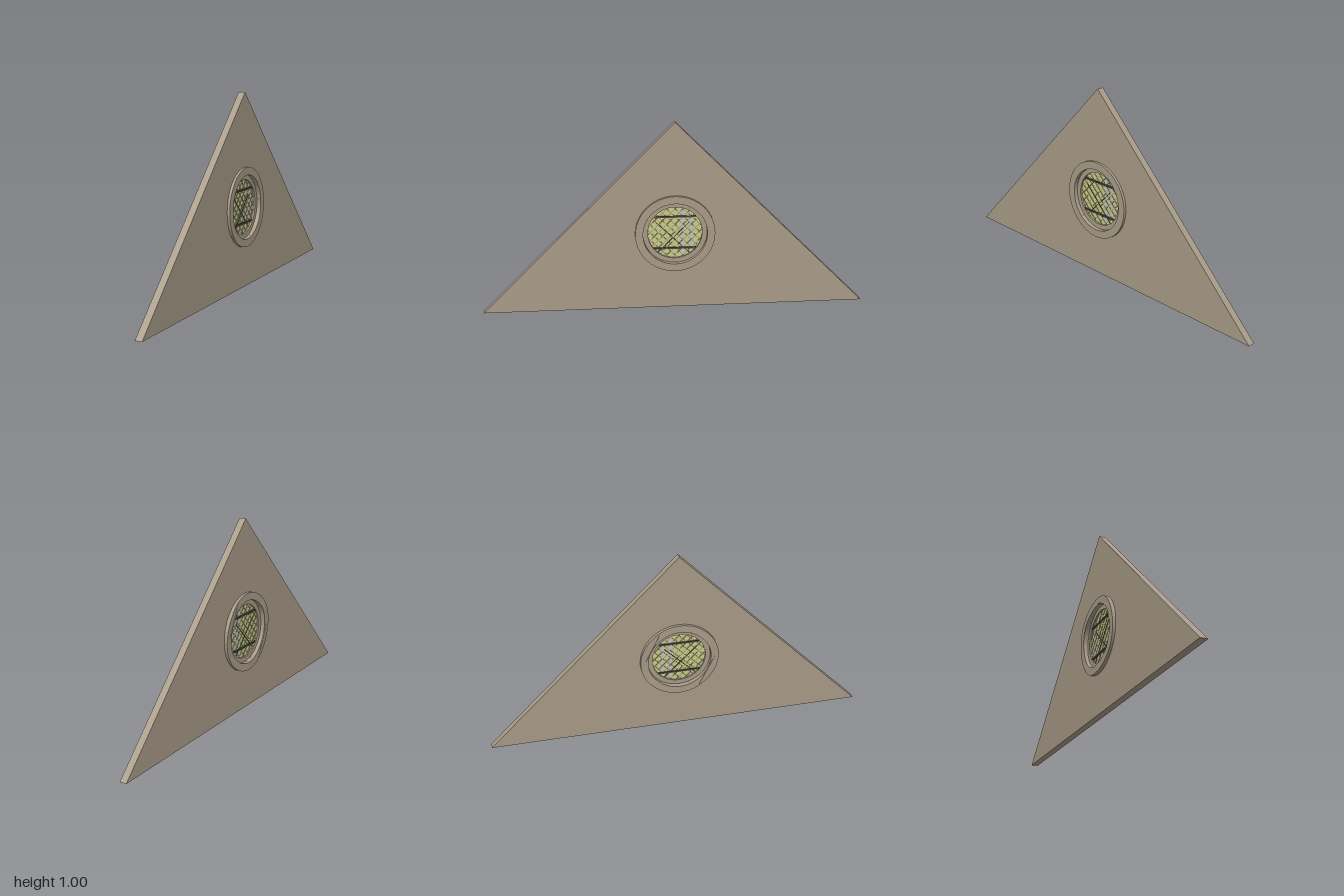
import * as THREE from 'three';

const mat = (name, color, extra = {}) => new THREE.MeshStandardMaterial({ name, color, ...extra });

export function createModel() {
  const stone = mat('stone', 0xa89b88);
  const glass = mat('yellowGlass', 0xcccb84);
  const pale = mat('paleGlass', 0xc3c3b8);
  const lead = mat('leadLattice', 0x99987c);
  const iron = mat('darkIron', 0x4a463d);

  const model = new THREE.Group();
  model.name = 'gableWithRoundWindow';
  // Drawn facing +z, then turned so the thickness runs along x
  const gable = new THREE.Group();
  gable.name = 'gable';
  gable.rotation.y = Math.PI / 2;
  model.add(gable);

  const CY = 0.416, OUTER = 0.205, MID = 0.185, INNER = 0.165, PANE = 0.14;
  const win = new THREE.Group();
  win.name = 'roundWindow';
  win.position.y = CY;
  gable.add(win);

  const add = (parent, name, geometry, material, x = 0, y = 0, z = 0, turn = 0) => {
    const mesh = new THREE.Mesh(geometry, material);
    mesh.name = name;
    mesh.position.set(x, y, z);
    mesh.rotation.z = turn;
    parent.add(mesh);
    return mesh;
  };
  const extrude = (shape, depth) =>
    new THREE.ExtrudeGeometry(shape, { depth, bevelEnabled: false, curveSegments: 48 });
  const circle = (r, y = 0) => new THREE.Path().absarc(0, y, r, 0, Math.PI * 2, true);

  // Triangular wall with a round opening
  const tri = new THREE.Shape([[-1, 0], [1, 0], [0, 1]].map(p => new THREE.Vector2(...p)));
  tri.holes.push(circle(INNER, CY));
  add(gable, 'wall', extrude(tri, 0.036), stone, 0, 0, -0.016);

  // Inner lip holding the pane
  const lip = new THREE.Shape().absarc(0, 0, INNER + 0.002, 0, Math.PI * 2, false);
  lip.holes.push(circle(PANE));
  add(win, 'innerLip', extrude(lip, 0.022), stone, 0, 0, -0.01);

  // Four interlocking stones of the surround, on each face
  const step = 0.045;
  for (let i = 0; i < 4; i++) {
    const a = i * Math.PI / 2, b = a + Math.PI / 2;
    const s = new THREE.Shape();
    s.absarc(0, 0, OUTER, a + step, b + step, false);
    s.absarc(0, 0, MID, b + step, b - step, true);
    s.absarc(0, 0, INNER, b - step, a - step, true);
    s.absarc(0, 0, MID, a - step, a + step, false);
    add(win, 'outerSurroundStone', extrude(s, 0.015), stone, 0, 0, 0.019);

    // The rear stones have a gently uneven face
    const rear = extrude(s, 0.016);
    const p = rear.attributes.position;
    for (let k = 0; k < p.count; k++) {
      if (p.getZ(k) > 0.008) continue;
      const t = Math.atan2(p.getY(k), p.getX(k));
      p.setZ(k, -0.002 - 0.003 * Math.sin(3 * t));
    }
    rear.computeVertexNormals();
    add(win, 'rearSurroundStone', rear, stone, 0, 0, -0.031);
  }

  // Glass pane
  const disc = new THREE.CylinderGeometry(PANE + 0.002, PANE + 0.002, 0.004, 48);
  disc.rotateX(Math.PI / 2);
  add(win, 'pane', disc, glass);

  // Diagonal lattice, with pale diamonds on one half
  const gap = 0.03, n = 4;
  for (let i = -n; i <= n; i++) {
    const o = i * gap;
    const len = 2 * Math.sqrt(PANE * PANE - o * o);
    for (const t of [Math.PI / 4, -Math.PI / 4]) {
      add(win, 'latticeStrip', new THREE.BoxGeometry(len, 0.004, 0.008), lead,
        -Math.sin(t) * o, Math.cos(t) * o, 0, t);
    }
    for (let j = -n; j <= n; j++) {
      const u = (i + 0.5) * gap, v = (j + 0.5) * gap;
      const x = (u - v) * Math.SQRT1_2, y = (u + v) * Math.SQRT1_2;
      if (x < 0.01 || Math.hypot(x, y) > PANE - 0.015 || (i + j) % 2) continue;
      add(win, 'paleDiamond', new THREE.BoxGeometry(gap, gap, 0.006), pale, x, y, 0, Math.PI / 4);
    }
  }

  // Dark crossbars and diagonal braces
  for (const y of [0.086, -0.087])
    add(win, 'crossbar', new THREE.BoxGeometry(0.226, 0.009, 0.016), iron, 0, y, 0);
  for (const t of [Math.PI / 4, -Math.PI / 4])
    add(win, 'brace', new THREE.BoxGeometry(0.24, 0.004, 0.01), iron, -0.01, -0.03, 0, t);

  return model;
}
